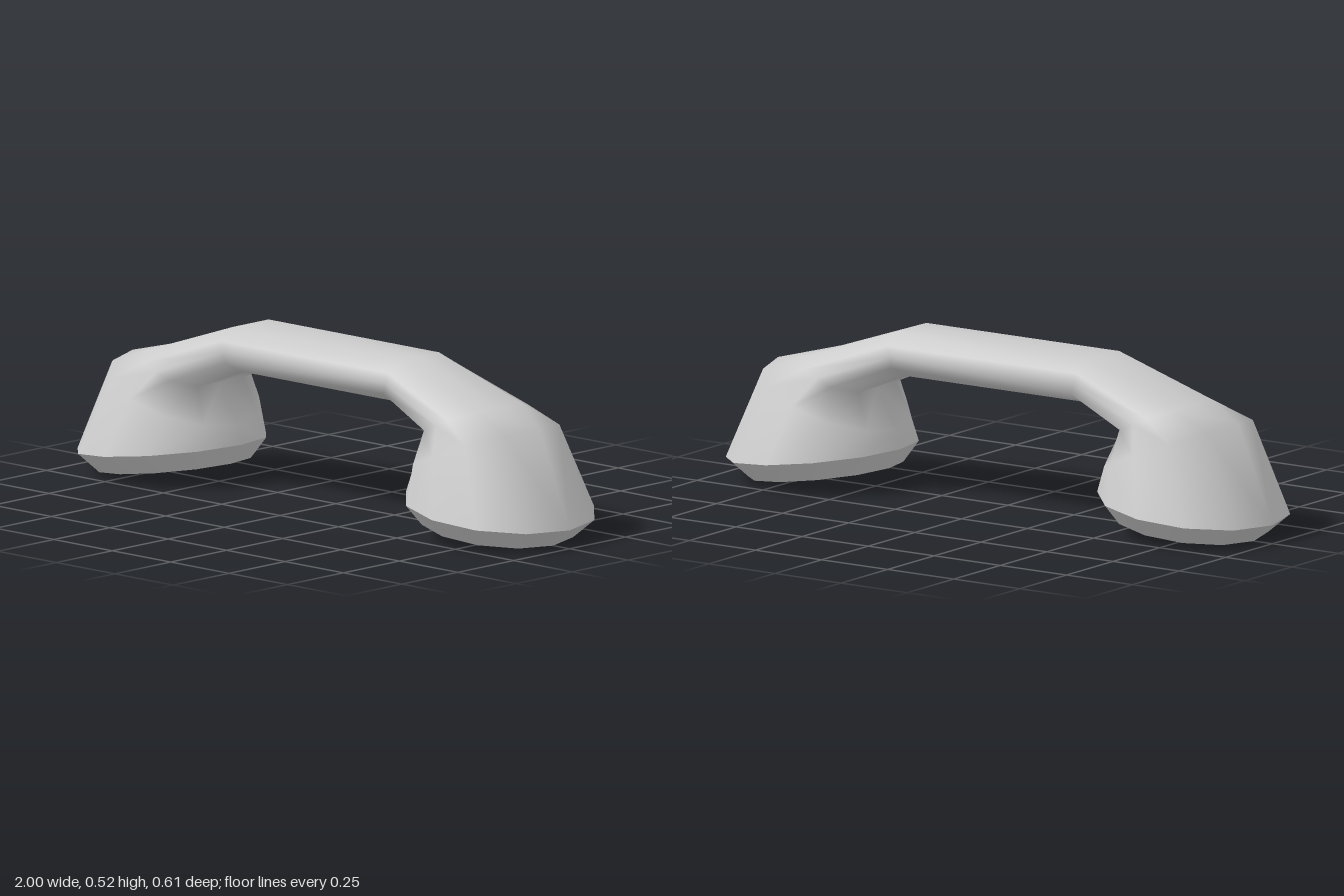
import * as THREE from 'three';

const SIDES = 12;

// Tilted ring: k = 0 is the top/outer point, k = 3 the +z side, k = 6 the bottom/inner point.
// Square rings have a boxy outline with chamfered corners, the others are round.
function ring(cx, cy, dx, dy, rz, square = false) {
  const points = [];
  for (let k = 0; k < SIDES; k++) {
    const a = (k / SIDES) * Math.PI * 2;
    let c = Math.cos(a), s = Math.sin(a);
    if (square) {
      c = Math.abs(c) > 0.8 ? Math.sign(c) : c;
      s = Math.abs(s) > 0.8 ? Math.sign(s) : s * 1.12;
    }
    points.push([cx + dx * c, cy + dy * c, rz * s]);
  }
  return points;
}

const mirror = (points) => points.map(([x, y, z]) => [-x, y, z]);

// Smooth skin over a row of rings running from +x towards -x
function loft(name, rings, material) {
  const index = [];
  for (let i = 0; i < rings.length - 1; i++) {
    for (let k = 0; k < SIDES; k++) {
      const next = (k + 1) % SIDES;
      const a = i * SIDES + k, b = i * SIDES + next;
      const c = a + SIDES, d = b + SIDES;
      // mirrored diagonals keep both halves symmetric
      if ((k < SIDES / 2) !== (i < rings.length / 2)) index.push(a, c, b, b, c, d);
      else index.push(a, d, b, a, c, d);
    }
  }
  const geometry = new THREE.BufferGeometry();
  geometry.setAttribute('position', new THREE.Float32BufferAttribute(rings.flat(2), 3));
  geometry.setIndex(index);
  geometry.computeVertexNormals();
  const mesh = new THREE.Mesh(geometry, material);
  mesh.name = name;
  return mesh;
}

export function createModel() {
  const group = new THREE.Group();
  group.name = 'handset';
  const material = new THREE.MeshStandardMaterial({ color: 0xcccccc });

  // Rings of the +x half, from the cup's underside to the grip
  const center = ring(0.69, 0.033, 0, 0, 0);
  const base = ring(0.69, 0.033, 0.24, -0.031, 0.245);
  const rim = ring(0.7025, 0.095, 0.2975, -0.035, 0.305);
  const shoulder = ring(0.645, 0.277, 0.225, 0.0875, 0.245);
  const neck = ring(0.598, 0.36, 0.102, 0.045, 0.178, true);
  const grip = ring(0.348, 0.452, 0.017, 0.068, 0.142, true);

  // Handle flowing into both cups
  const half = [rim, shoulder, neck, grip];
  const body = [...half, ...half.map(mirror).reverse()];
  group.add(loft('handleAndCups', body, material));

  // Bevelled lip and flat face under each cup, with hard edges between them
  group.add(loft('leftCupBevel', [base, rim], material));
  group.add(loft('leftCupFace', [center, base], material));
  group.add(loft('rightCupBevel', [mirror(rim), mirror(base)], material));
  group.add(loft('rightCupFace', [mirror(base), mirror(center)], material));
  return group;
}
